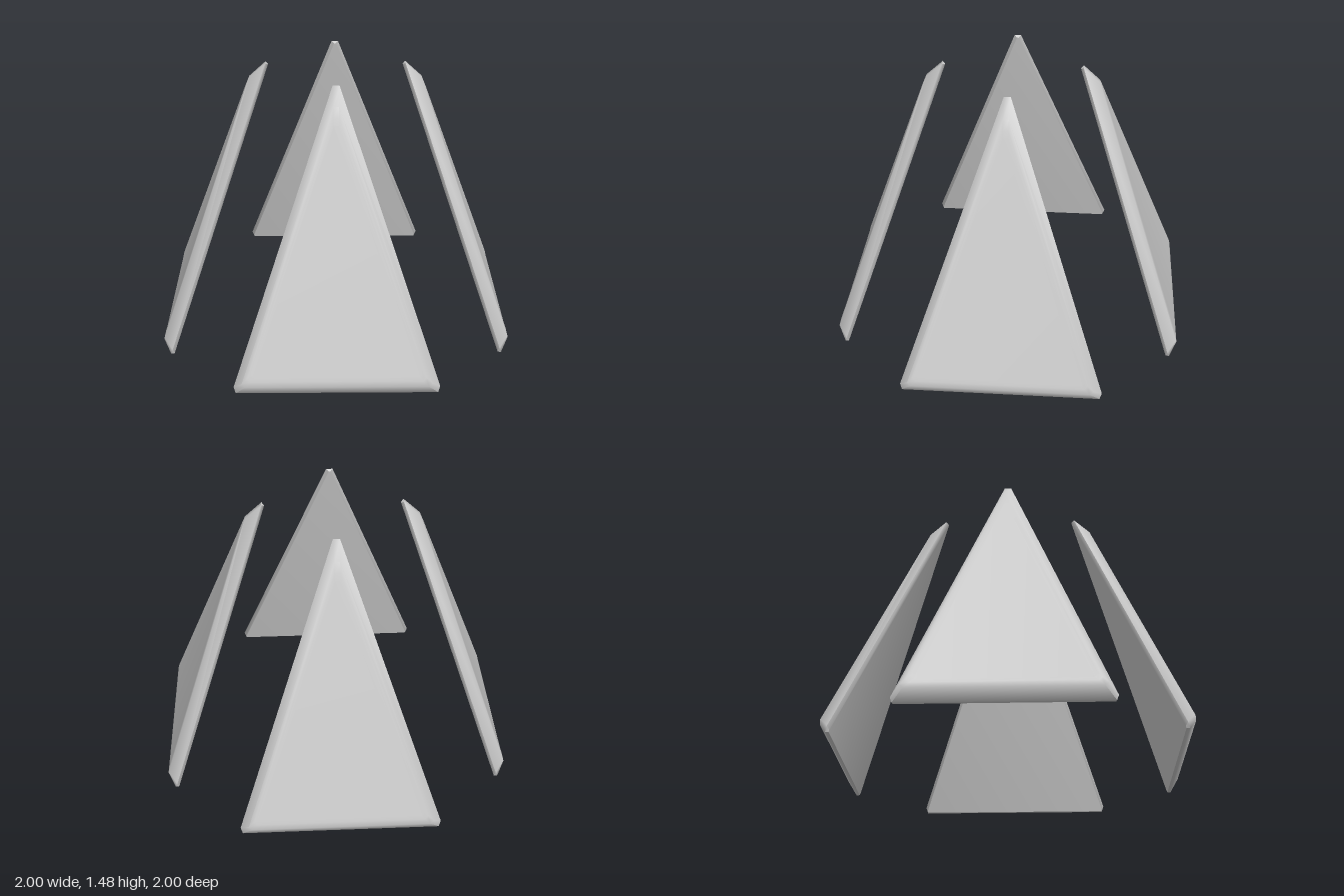
import * as THREE from 'three';
import { toCreasedNormals } from 'three/addons/utils/BufferGeometryUtils.js';

// Half a ring (apex, upper foot corner, lower foot corner), mirrored across x = z
function ring(half) {
  const left = half.map(p => new THREE.Vector3(...p));
  const right = half.map(([x, y, z]) => new THREE.Vector3(z, y, x)).reverse();
  return [...left, ...right];
}

// Shrink a ring towards its middle and lift it outwards
function inset(points, amount, lift) {
  const middle = new THREE.Vector3();
  points.forEach(p => middle.addScaledVector(p, 1 / points.length));
  const normal = new THREE.Vector3(2, 1, 2).normalize();
  return points.map(p => p.clone().lerp(middle, amount).addScaledVector(normal, lift));
}

// Closed skin over a stack of rings, from the inner face to the outer face
function skin(rings) {
  const pos = [];
  const tri = (...pts) => pts.forEach(p => pos.push(p.x, p.y, p.z));
  const n = rings[0].length;
  for (let r = 0; r < rings.length - 1; r++) {
    for (let i = 0; i < n; i++) {
      const j = (i + 1) % n;
      const lo = rings[r], hi = rings[r + 1];
      tri(lo[i], lo[j], hi[j]);
      tri(lo[i], hi[j], hi[i]);
    }
  }
  const first = rings[0], last = rings[rings.length - 1];
  for (let i = 1; i < n - 1; i++) {
    tri(first[0], first[i + 1], first[i]);
    tri(last[0], last[i], last[i + 1]);
  }
  const geometry = new THREE.BufferGeometry();
  geometry.setAttribute('position', new THREE.Float32BufferAttribute(pos, 3));
  return toCreasedNormals(geometry, 1.0);
}

export function createModel() {
  const group = new THREE.Group();
  group.name = 'splitPyramid';
  const material = new THREE.MeshStandardMaterial({ color: 0xcccccc });

  // Sloping triangular plate: inner face, narrow wall, wide bevel, softened outer face
  const inner = ring([[0.25, 1.47, 0.255], [0.25, 0.01, 0.985], [0.255, 0, 0.985]]);
  const wall = ring([[0.25, 1.48, 0.275], [0.25, 0.03, 1], [0.265, 0, 1]]);
  const bevel = ring([[0.315, 1.40, 0.335], [0.315, 0.08, 1], [0.33, 0.06, 0.99]]);
  const geometry = skin([inner, wall, bevel, inset(bevel, 0.06, 0.003), inset(bevel, 0.1, 0.003)]);

  // One plate in each quarter
  ['frontLeftPanel', 'backLeftPanel', 'backRightPanel', 'frontRightPanel'].forEach((name, i) => {
    const panel = new THREE.Mesh(geometry, material);
    panel.name = name;
    panel.rotation.y = i * Math.PI / 2;
    group.add(panel);
  });
  return group;
}
